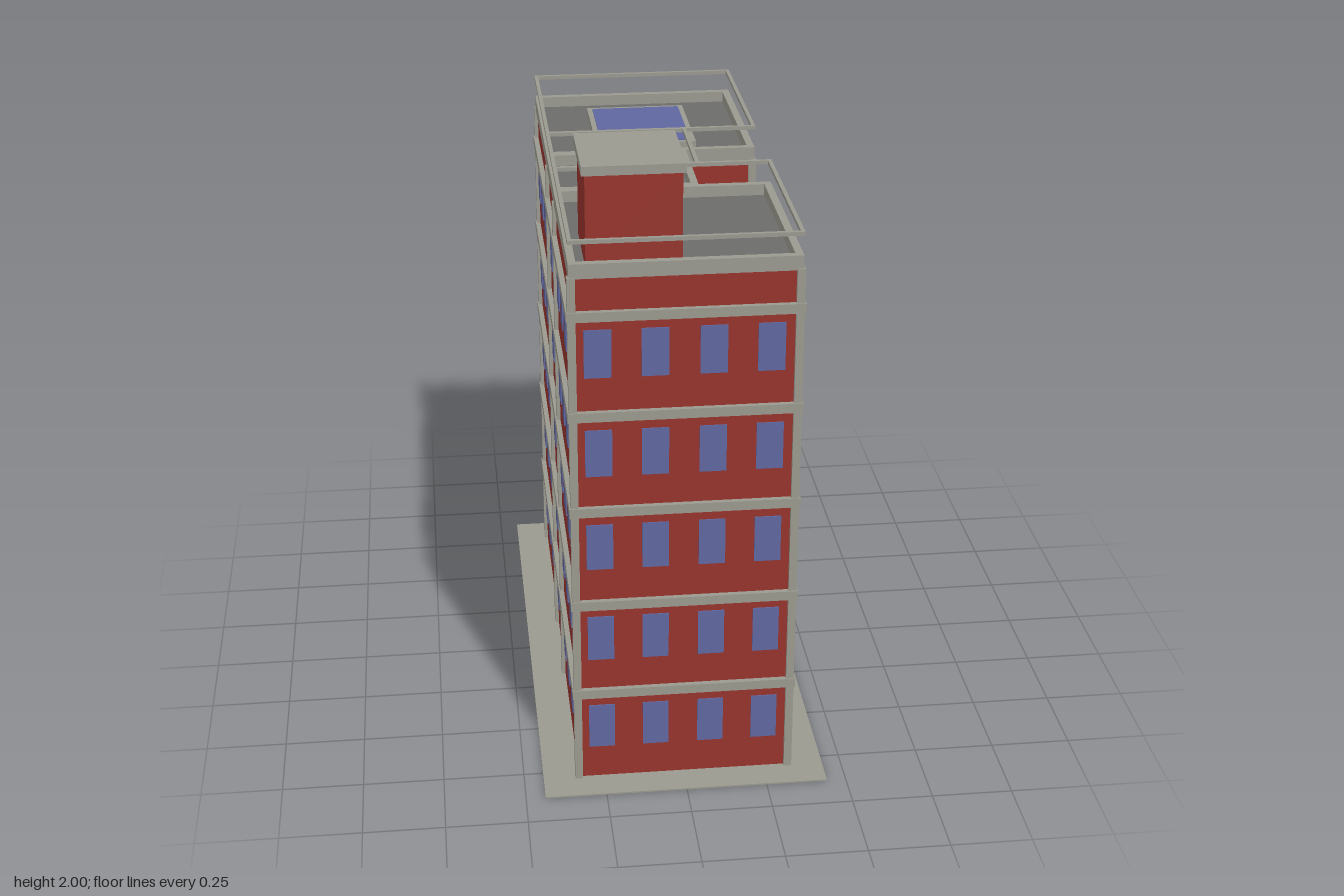
import * as THREE from 'three';

const material = (name, color) => new THREE.MeshStandardMaterial({ name, color });
const brick = material('red brick', 0x96332c);
const concrete = material('light concrete', 0x9a998f);
const glass = material('blue glass', 0x5f669f);
const roofing = material('dark roofing', 0x6c6c6a);
const metal = material('grey metal', 0x73746c);

// Box given by its limits on each axis
function box(parent, name, mat, [x0, x1], [y0, y1], [z0, z1]) {
  const mesh = new THREE.Mesh(new THREE.BoxGeometry(x1 - x0, y1 - y0, z1 - z0), mat);
  mesh.position.set((x0 + x1) / 2, (y0 + y1) / 2, (z0 + z1) / 2);
  mesh.name = name;
  parent.add(mesh);
  return mesh;
}

// Rectangular frame lying flat: grows outward by out and inward by inn
function ring(parent, name, mat, [x0, x1], [z0, z1], [y0, y1], out, inn) {
  const rect = (target, d) => {
    target.moveTo(x0 - d, -z1 - d);
    target.lineTo(x1 + d, -z1 - d);
    target.lineTo(x1 + d, -z0 + d);
    target.lineTo(x0 - d, -z0 + d);
    target.closePath();
    return target;
  };
  const shape = rect(new THREE.Shape(), out);
  shape.holes.push(rect(new THREE.Path(), -inn));
  const geometry = new THREE.ExtrudeGeometry(shape, { depth: y1 - y0, bevelEnabled: false });
  geometry.rotateX(-Math.PI / 2);
  const mesh = new THREE.Mesh(geometry, mat);
  mesh.position.y = y0;
  mesh.name = name;
  parent.add(mesh);
}

const floors = [0.115, 0.43, 0.745, 1.057, 1.375];
const bands = [0.298, 0.61, 0.928, 1.24, 1.555];
const W = 0.08, H = 0.15, T = 0.004;

// Window columns on a wall facing along x or z
function windows(parent, axis, at, centres) {
  for (const y of floors) for (const c of centres) {
    const across = [c - W / 2, c + W / 2], through = [at - T, at + T];
    box(parent, 'window', glass, axis === 'x' ? through : across, [y, y + H],
      axis === 'x' ? across : through);
  }
}

// Walls, corner pillars, floor bands, parapet, roof and handrail of one block
function block(name, xs, zs) {
  const group = new THREE.Group();
  group.name = name;
  box(group, 'walls', brick, xs, [0.004, 1.69], zs);
  for (const x of xs) for (const z of zs)
    box(group, 'cornerPillar', concrete, [x - 0.012, x + 0.012], [0.004, 1.69], [z - 0.012, z + 0.012]);
  for (const y of bands) ring(group, 'floorBand', concrete, xs, zs, [y, y + 0.03], 0.016, 0.01);
  ring(group, 'parapet', concrete, xs, zs, [1.685, 1.73], 0.007, 0.016);
  box(group, 'roof', roofing, [xs[0] + 0.01, xs[1] - 0.01], [1.68, 1.695], [zs[0] + 0.01, zs[1] - 0.01]);
  ring(group, 'handrail', concrete, xs, zs, [1.79, 1.802], 0.008, 0.004);
  return group;
}

export function createModel() {
  const model = new THREE.Group();
  model.name = 'apartmentBuilding';
  box(model, 'groundSlab', concrete, [-0.44, 0.44], [0, 0.005], [-0.885, 0.885]);

  const xs = [-0.329, 0.329];
  const frontColumns = [-0.255, -0.088, 0.082, 0.25];
  const sideColumns = [0.245, 0.4, 0.555, 0.715];

  // Front and rear wings
  for (const s of [1, -1]) {
    const wing = block(s > 0 ? 'frontWing' : 'rearWing', xs, s > 0 ? [0.172, 0.785] : [-0.785, -0.172]);
    for (const x of xs) windows(wing, 'x', x, sideColumns.map((z) => z * s));
    windows(wing, 'z', 0.785 * s, frontColumns);
    windows(wing, 'z', 0.172 * s, [0.25]);
    model.add(wing);
  }

  // Recessed link between the wings, with the entrance door
  const link = block('middleLink', [-0.329, 0.105], [-0.165, 0.165]);
  for (const x of [-0.329, 0.105]) windows(link, 'x', x, [-0.081, 0.085]);
  box(link, 'entranceDoor', metal, [0.1, 0.114], [0.005, 0.15], [-0.04, 0.042]);
  model.add(link);

  // Stair house on the front wing
  const stair = new THREE.Group();
  stair.name = 'stairHouse';
  box(stair, 'stairWalls', brick, [-0.282, -0.004], [1.69, 1.975], [0.455, 0.733]);
  box(stair, 'stairRoof', concrete, [-0.292, 0.005], [1.972, 2], [0.445, 0.743]);
  box(stair, 'stairWindow', glass, [-0.008, 0], [1.742, 1.888], [0.538, 0.648]);
  model.add(stair);

  // Skylight on the rear wing
  box(model, 'skylightFrame', concrete, [-0.166, 0.161], [1.69, 1.715], [-0.68, -0.29]);
  box(model, 'skylightGlass', glass, [-0.149, 0.144], [1.712, 1.718], [-0.66, -0.308]);

  // Flagpoles in the entrance court
  for (const z of [0.113, 0.002, -0.11]) {
    const pole = new THREE.Mesh(new THREE.CylinderGeometry(0.007, 0.007, 0.895, 12), metal);
    pole.position.set(0.25, 0.45, z);
    pole.name = 'flagpole';
    model.add(pole);
    box(model, 'flag', glass, [0.246, 0.254], [0.747, 0.885], [Math.max(z - 0.092, -0.17), z - 0.006]);
  }
  return model;
}
